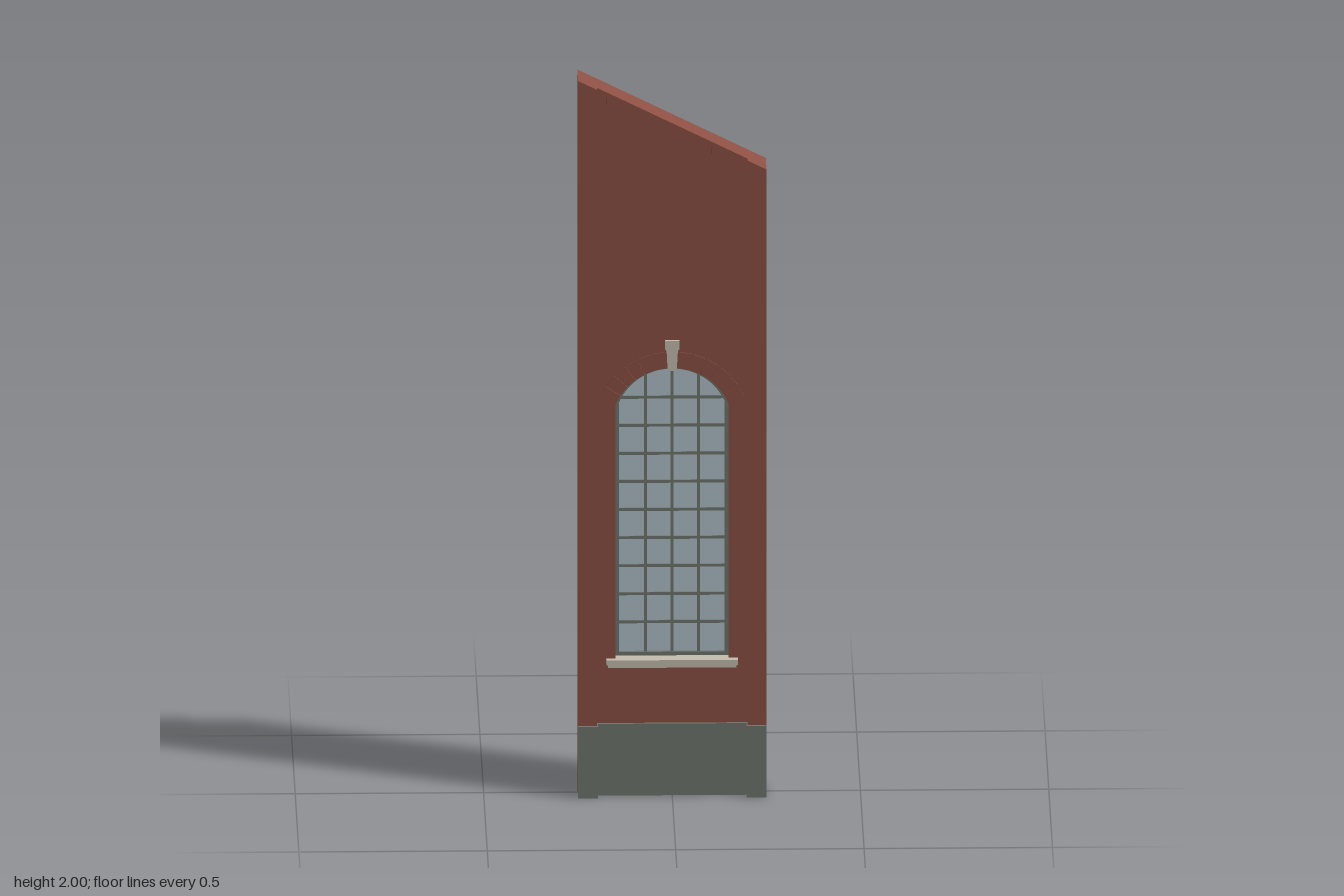
import * as THREE from 'three';

const brick = new THREE.MeshStandardMaterial({ name: 'brick', color: 0x8c4f43 });
const stone = new THREE.MeshStandardMaterial({ name: 'greyStone', color: 0x70766f });
const cream = new THREE.MeshStandardMaterial({ name: 'creamStone', color: 0xc4beae });
const glass = new THREE.MeshStandardMaterial({ name: 'glass', color: 0xb0c1c9 });

// Sloping top of the wall, and the circle of the window arch
const topY = (x) => 1.875 - 0.5 * x;
const HALF = 0.15, SILL = 0.38, R = 0.1625, CY = 1.0275;
const SPRING = Math.asin(HALF / R);
const FACE = 0.024; // front face of the wall

// Arched outline, inset from the opening
function archPath(PathType, inset) {
  const w = HALF - inset, r = R - inset, a = Math.acos(w / r);
  const p = new PathType();
  p.moveTo(-w, SILL + inset);
  p.lineTo(w, SILL + inset);
  p.lineTo(w, CY + r * Math.sin(a));
  p.absarc(0, CY, r, a, Math.PI - a, false);
  p.lineTo(-w, SILL + inset);
  return p;
}

function polygon(points) {
  return new THREE.Shape(points.map(([x, y]) => new THREE.Vector2(x, y)));
}

export function createModel() {
  const model = new THREE.Group();
  model.name = 'wallSection';

  const add = (name, geometry, material, parent = model) => {
    const mesh = new THREE.Mesh(geometry, material);
    mesh.name = name;
    parent.add(mesh);
    return mesh;
  };
  const extrude = (name, shape, z0, z1, material, parent) => {
    const g = new THREE.ExtrudeGeometry(shape, { depth: z1 - z0, bevelEnabled: false, curveSegments: 24 });
    g.translate(0, 0, z0);
    return add(name, g, material, parent);
  };
  const box = (name, x0, x1, y0, y1, z0, z1, material, parent) => {
    const g = new THREE.BoxGeometry(x1 - x0, y1 - y0, z1 - z0);
    g.translate((x0 + x1) / 2, (y0 + y1) / 2, (z0 + z1) / 2);
    return add(name, g, material, parent);
  };
  // Strip that follows the sloping top, between two drops below it
  const slopeStrip = (x0, x1, hi, lo) => polygon([
    [x0, topY(x0) - lo], [x1, topY(x1) - lo], [x1, topY(x1) - hi], [x0, topY(x0) - hi],
  ]);

  // Main wall with the arched opening
  const wall = polygon([[-0.25, 0], [0.25, 0], [0.25, topY(0.25)], [-0.25, topY(-0.25)]]);
  wall.holes.push(archPath(THREE.Path, 0));
  extrude('wall', wall, -0.05, FACE, brick);

  // Pilasters and their plinths
  for (const [side, x0, x1] of [['right', -0.25, -0.2], ['left', 0.2, 0.25]]) {
    extrude(side + 'Pilaster', polygon([[x0, 0.2], [x1, 0.2], [x1, topY(x1)], [x0, topY(x0)]]),
      FACE, 0.05, brick);
    const inner = side === 'left' ? [x0 - 0.003, x1] : [x0, x1 + 0.003];
    box(side + 'Plinth', inner[0], inner[1], 0, 0.2, FACE, 0.056, stone);
  }
  box('middlePlinth', -0.197, 0.197, 0, 0.2, FACE, 0.032, stone);

  // Sloping frieze with a row of dentils
  const frieze = new THREE.Group();
  frieze.name = 'frieze';
  model.add(frieze);
  extrude('friezeBand', slopeStrip(-0.2, 0.2, 0, 0.08), FACE, 0.027, brick, frieze);
  extrude('friezeCap', slopeStrip(-0.2, 0.2, 0, 0.015), 0.027, 0.032, brick, frieze);
  const count = 20;
  for (let i = 0; i < count; i++) {
    const x = -0.2 + (i + 0.25) * 0.4 / count;
    extrude('dentil', slopeStrip(x, x + 0.01, 0.015, 0.035), 0.027, 0.032, brick, frieze);
  }

  // Brick arch stones around the head of the window
  const arch = new THREE.Group();
  arch.name = 'brickArch';
  model.add(arch);
  const stones = 13, step = 2 * SPRING / stones, gap = 0.012;
  for (let i = 0; i < stones; i++) {
    const a0 = -SPRING + i * step + gap, a1 = a0 + step - 2 * gap;
    const at = (r, a) => [r * Math.sin(a), CY + r * Math.cos(a)];
    extrude('archStone', polygon([at(R, a0), at(0.208, a0), at(0.208, a1), at(R, a1)]),
      FACE, 0.027, brick, arch);
  }

  // Keystone with a wider head
  const key = [[0.012, 1.185], [0.015, 1.24], [0.019, 1.245], [0.019, 1.268]];
  extrude('keystone', polygon([...key, ...key.map(([x, y]) => [-x, y]).reverse()]), FACE, 0.035, cream);

  // Outer sill in two steps, and the inner sill
  box('outerSillLower', -0.17, 0.17, 0.357, 0.366, -0.005, 0.036, cream);
  box('outerSillUpper', -0.175, 0.175, 0.366, 0.38, -0.005, 0.042, cream);
  box('innerSill', -0.155, 0.155, 0.37, 0.381, -0.06, -0.02, brick);

  // Window frame, glazing bars and pane
  const win = new THREE.Group();
  win.name = 'window';
  model.add(win);
  const frame = archPath(THREE.Shape, 0);
  frame.holes.push(archPath(THREE.Path, 0.01));
  extrude('windowFrame', frame, -0.024, 0, stone, win);
  extrude('pane', archPath(THREE.Shape, 0.005), -0.014, -0.01, glass, win);
  for (const x of [-0.07, 0, 0.07]) {
    const top = CY + Math.sqrt((R - 0.005) ** 2 - x * x);
    box('verticalBar', x - 0.004, x + 0.004, SILL + 0.005, top, -0.019, -0.005, stone, win);
  }
  for (let i = 0; i < 9; i++) {
    const y = 0.472 + i * 0.0783;
    const w = Math.min(0.143, Math.sqrt((R - 0.005) ** 2 - Math.max(0, y - CY) ** 2));
    box('horizontalBar', -w, w, y - 0.004, y + 0.004, -0.018, -0.006, stone, win);
  }

  return model;
}
